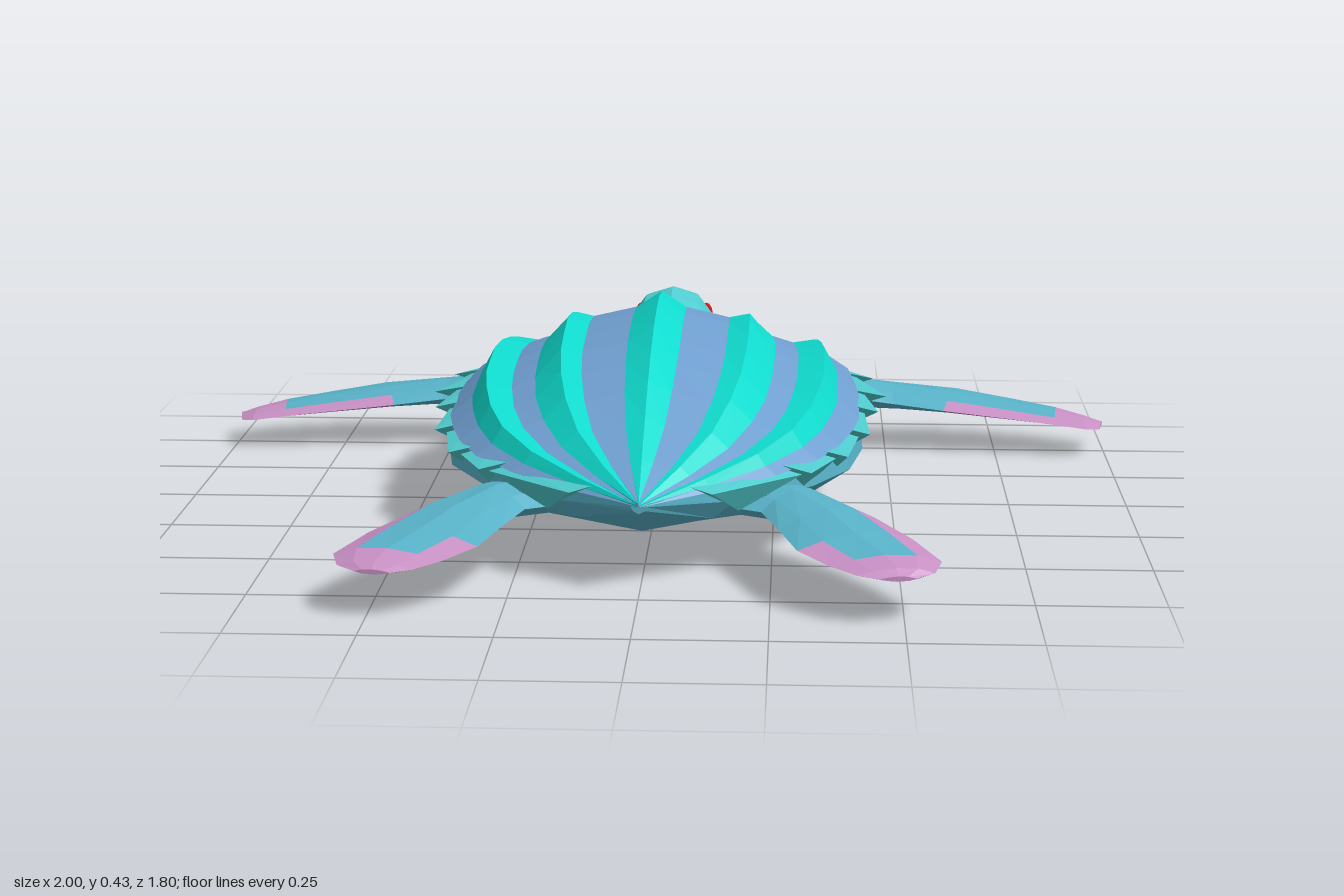
import * as THREE from 'three';
import { ConvexGeometry } from 'three/addons/geometries/ConvexGeometry.js';

const makeMat = (name, color) => {
  const m = new THREE.MeshStandardMaterial({ color, flatShading: true });
  m.name = name;
  return m;
};

// Straight-line interpolation through [input, output] pairs
function along(table, v) {
  if (v <= table[0][0]) return table[0][1];
  for (let i = 1; i < table.length; i++) {
    const [a, p] = table[i - 1], [b, q] = table[i];
    if (v <= b) return p + ((q - p) * (v - a)) / (b - a);
  }
  return table[table.length - 1][1];
}

// Skin over rings of points; paint(ring, column) picks the material of each cell
function loft(name, rings, paint, closed = true) {
  const byMat = new Map(), n = rings[0].length;
  const centre = new THREE.Vector3();
  rings.flat().forEach(p => centre.add(p));
  centre.divideScalar(rings.length * n);
  let facing = 0;
  const tri = (mat, a, b, c) => {
    const normal = b.clone().sub(a).cross(c.clone().sub(a));
    if (normal.length() < 1e-9) return;
    facing += normal.dot(a.clone().sub(centre));
    if (!byMat.has(mat)) byMat.set(mat, []);
    byMat.get(mat).push([a, b, c]);
  };
  for (let i = 0; i + 1 < rings.length; i++) {
    for (let j = 0; j < (closed ? n : n - 1); j++) {
      const k = (j + 1) % n, m = paint(i, j), r = rings[i], s = rings[i + 1];
      tri(m, r[j], r[k], s[k]);
      tri(m, r[j], s[k], s[j]);
    }
  }
  if (closed) {
    const first = rings[0], last = rings[rings.length - 1];
    for (let j = 1; j + 1 < n; j++) {
      tri(paint(0, j), first[0], first[j + 1], first[j]);
      tri(paint(rings.length - 2, j), last[0], last[j], last[j + 1]);
    }
  }
  // Turn every face outward
  const pos = [], geo = new THREE.BufferGeometry(), mats = [...byMat.keys()];
  mats.forEach((m, g) => {
    const start = pos.length / 3;
    for (const [a, b, c] of byMat.get(m)) {
      for (const p of facing > 0 ? [a, b, c] : [a, c, b]) pos.push(p.x, p.y, p.z);
    }
    geo.addGroup(start, pos.length / 3 - start, g);
  });
  geo.setAttribute('position', new THREE.Float32BufferAttribute(pos, 3));
  geo.computeVertexNormals();
  const mesh = new THREE.Mesh(geo, mats);
  mesh.name = name;
  return mesh;
}

const V = (x, y, z) => new THREE.Vector3(x, y, z);

// Oval ring across z
function oval(z, w, top, bottom, n = 10) {
  return Array.from({ length: n }, (_, i) => {
    const a = (i / n) * Math.PI * 2;
    return V(Math.sin(a) * w, (top + bottom) / 2 + (Math.cos(a) * (top - bottom)) / 2, z);
  });
}

// Flipper stations: leading x, z, trailing x, z, height, half thickness
function flipper(name, side, stations, isPink, skin, pink) {
  const frac = [0, 0.22, 0.5, 0.78, 1], bulge = [0, 0.8, 1, 0.6, 0];
  const rings = stations.map(([ax, az, bx, bz, y, t]) => {
    const at = (c, s) => V(side * (ax + (bx - ax) * frac[c]), y + s * t * bulge[c], az + (bz - az) * frac[c]);
    return [0, 1, 2, 3, 4].map(c => at(c, 1)).concat([3, 2, 1].map(c => at(c, -1)));
  });
  return loft(name, rings, (i, j) => (isPink(i, j < 4 ? j : 7 - j) ? pink : skin));
}

export function createModel() {
  const model = new THREE.Group();
  model.name = 'seaTurtle';
  const skin = makeMat('blueSkin', 0x58b2c8);
  const face = makeMat('turquoiseSkin', 0x50cccf);
  const teal = makeMat('tealShell', 0x10dccf);
  const blue = makeMat('blueShell', 0x709fd0);
  const pink = makeMat('pinkEdge', 0xc890c4);
  const red = makeMat('redEye', 0xd81414);

  // Ridged shell: columns run from the front edge and meet at the tail point
  const width = [[-0.55, 0.92], [-0.35, 0.95], [-0.1, 1], [0.15, 0.99], [0.3, 0.93], [0.42, 0.82],
    [0.5, 0.69], [0.6, 0.44], [0.73, 0.005]];
  const crest = [[-0.55, 0.26], [-0.45, 0.315], [-0.35, 0.37], [-0.2, 0.42], [-0.05, 0.435],
    [0.2, 0.405], [0.4, 0.34], [0.6, 0.25], [0.73, 0.185]];
  const base = [[-0.55, 0.21], [-0.3, 0.205], [0.3, 0.195], [0.73, 0.175]];
  const half = [[0, 0.435], [0.055, 0.397], [0.15, 0.375], [0.195, 0.387], [0.25, 0.325],
    [0.3, 0.305], [0.355, 0.317], [0.385, 0.26], [0.43, 0.222]];
  const stripes = [teal, blue, teal, teal, blue, teal, teal, blue];
  const columns = half.slice(1).reverse().map(([x, y]) => [-x, y]).concat(half);
  const shellRows = [];
  for (let r = 0; r <= 11; r++) {
    shellRows.push(columns.map(([x, y]) => {
      const front = -0.55 + Math.max(0, Math.abs(x) - 0.12) * 0.68;
      const z = front + ((0.73 - front) * r) / 11;
      const b = along(base, z);
      return V(x * along(width, z), b + ((y - 0.2) / 0.235) * (along(crest, z) - b), z);
    }));
  }
  // Front lip drops to the body
  shellRows.unshift(shellRows[0].map(p => V(p.x * 0.95, 0.16, p.z + 0.02)));
  model.add(loft('shell', shellRows, (i, j) => (i === 0 ? skin : stripes[j < 8 ? 7 - j : j - 8]), false));

  // Keeled body and belly
  const bodyStations = [[-0.54, 0.13, 0.07], [-0.49, 0.22, 0.045], [-0.4, 0.34, 0.022], [-0.28, 0.41, 0.008],
    [-0.15, 0.435, 0], [0.1, 0.435, 0.018], [0.3, 0.405, 0.038], [0.45, 0.33, 0.06], [0.6, 0.18, 0.095], [0.72, 0.015, 0.16]];
  const bodyRings = bodyStations.map(([z, w, b]) => {
    const top = along(base, z) + 0.005, h = top - b;
    const side = [[0.76, 0.3], [1, 0.68], [0.98, 1]];
    return [V(0, b, z), ...side.map(([x, y]) => V(x * w, b + y * h, z)),
      ...side.slice().reverse().map(([x, y]) => V(-x * w, b + y * h, z))];
  });
  model.add(loft('body', bodyRings, () => skin));

  // Neck, skull and beak
  const headStations = [[-0.44, 0.19, 0.24, 0.07], [-0.51, 0.142, 0.265, 0.075], [-0.57, 0.12, 0.28, 0.085],
    [-0.61, 0.112, 0.305, 0.09], [-0.66, 0.112, 0.323, 0.1], [-0.73, 0.107, 0.332, 0.11], [-0.79, 0.095, 0.322, 0.14],
    [-0.84, 0.078, 0.3, 0.163], [-0.885, 0.045, 0.272, 0.182], [-0.905, 0.01, 0.245, 0.195]];
  model.add(loft('neckAndHead', headStations.map(s => oval(...s)), i => (i < 3 ? skin : face)));
  const jawStations = [[-0.68, 0.085, 0.18, 0.095], [-0.75, 0.082, 0.17, 0.09], [-0.81, 0.055, 0.148, 0.105], [-0.84, 0.02, 0.14, 0.125]];
  model.add(loft('lowerJaw', jawStations.map(s => oval(...s, 8)), () => face));

  const frontFin = [[0.1, -0.47, 0.2, -0.3, 0.15, 0.06], [0.25, -0.52, 0.27, -0.41, 0.15, 0.045],
    [0.38, -0.61, 0.4, -0.475, 0.125, 0.036], [0.5, -0.655, 0.52, -0.475, 0.11, 0.03], [0.68, -0.66, 0.63, -0.455, 0.1, 0.023],
    [0.8, -0.64, 0.78, -0.445, 0.085, 0.018], [0.9, -0.605, 0.88, -0.435, 0.075, 0.014],
    [0.96, -0.57, 0.955, -0.43, 0.066, 0.01], [1, -0.54, 0.985, -0.46, 0.06, 0.004]];
  const rearFin = [[0.26, 0.38, 0.12, 0.52, 0.13, 0.04], [0.35, 0.47, 0.23, 0.58, 0.13, 0.035],
    [0.45, 0.58, 0.265, 0.68, 0.122, 0.03], [0.52, 0.7, 0.3, 0.79, 0.112, 0.024],
    [0.57, 0.81, 0.36, 0.85, 0.1, 0.018], [0.555, 0.865, 0.41, 0.89, 0.094, 0.012], [0.52, 0.89, 0.45, 0.9, 0.09, 0.005]];
  const teeth = [[-0.42, -0.28, 0.05], [-0.28, -0.1, 0.058], [-0.1, 0.05, 0.04], [0.05, 0.23, 0.035],
    [0.23, 0.39, 0.035], [0.39, 0.5, 0.03], [0.5, 0.65, 0.02]];
  const edge = z => 0.43 * along(width, z) - Math.max(0, -0.3 - z) * 0.5;

  for (const side of [1, -1]) {
    const label = side > 0 ? 'left' : 'right';
    model.add(flipper(label + 'FrontFlipper', side, frontFin,
      (i, c) => i >= 6 || (i >= 4 && (c === 0 || c === 3)), skin, pink));
    model.add(flipper(label + 'RearFlipper', side, rearFin,
      (i, c) => i >= 4 || (i >= 1 && c === 0) || (i >= 3 && c === 3), skin, pink));

    // Backward-pointing teeth along the shell rim
    for (const [z0, z1, out] of teeth) {
      const mid = (z0 + z1) / 2;
      const points = [[edge(z0) - 0.04, 0.23, z0], [edge(z0) + 0.012, 0.215, z0], [edge(z1) + out, 0.215, z1 + 0.015],
        [edge(z1) - 0.04, 0.23, z1], [edge(mid) - 0.03, 0.16, mid]];
      const drop = Math.max(0, mid) * 0.05;
      const tooth = new THREE.Mesh(new ConvexGeometry(points.map(([x, y, z]) => V(side * x, y - drop, z))), face);
      tooth.name = label + 'RimTooth';
      model.add(tooth);
    }

    // Eyes
    const eye = new THREE.Mesh(new THREE.SphereGeometry(1, 8, 6), red);
    eye.name = label + 'Eye';
    eye.scale.set(0.012, 0.02, 0.026);
    eye.position.set(side * 0.078, 0.256, -0.825);
    eye.rotation.y = side * 0.35;
    model.add(eye);
  }
  return model;
}
